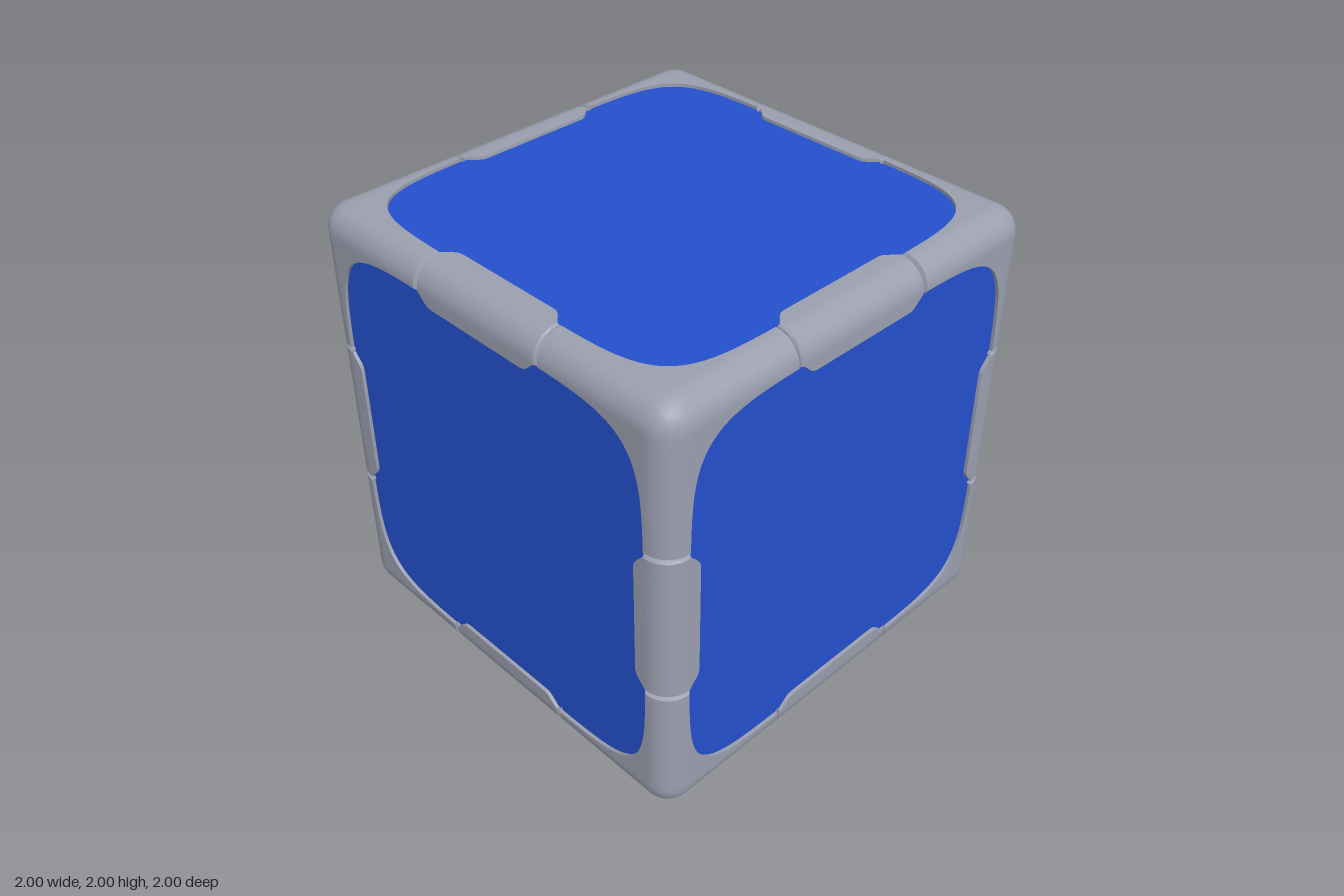
import * as THREE from 'three';
import { mergeGeometries, toCreasedNormals } from 'three/addons/utils/BufferGeometryUtils.js';

const R = 0.115;        // rounding of the cube's edges
const PANEL_Z = 0.985;  // panels sit slightly below the frame
const OUTLINE = 0.882, POWER = 6.3;

const clamp = (v, m) => Math.max(-m, Math.min(m, v));

// Surface through rows of points
function loft(rows) {
  const n = rows[0].length, index = [];
  for (let i = 0; i < rows.length - 1; i++) {
    for (let j = 0; j < n - 1; j++) {
      const a = i * n + j, b = a + 1, c = b + n, d = a + n;
      index.push(a, b, c, a, c, d);
    }
  }
  const geo = new THREE.BufferGeometry();
  geo.setAttribute('position', new THREE.Float32BufferAttribute(rows.flat(2), 3));
  geo.setIndex(index);
  return geo;
}

// Pushes a point of the sharp cube onto the rounded cube
function roundOff(x, y, z) {
  const p = new THREE.Vector3(x, y, z);
  const c = new THREE.Vector3(clamp(x, 1 - R), clamp(y, 1 - R), clamp(z, 1 - R));
  return p.sub(c).normalize().multiplyScalar(R).add(c);
}

const half = [0.352, 0.358, 0.45, 0.55, 0.65, 0.72, 0.78, 0.83, 0.88, 0.91, 0.94, 0.97, 1];
const samples = [...half.map(s => -s).reverse(), -0.18, 0, 0.18, ...half];

// Point of the panel's soft-cornered outline, bottom side
const diagonal = OUTLINE * Math.pow(0.5, 1 / POWER);
function outlinePoint(s) {
  const m = Math.abs(s);
  const x = m < 0.36 ? m : 0.36 + (m - 0.36) * (diagonal - 0.36) / 0.64;
  return [Math.sign(s) * x, -Math.pow(OUTLINE ** POWER - x ** POWER, 1 / POWER)];
}

// One quarter of the frame around a face, sunk where a clip covers it
function frameSide() {
  const rows = [];
  for (let i = 0; i <= 12; i++) {
    const t = i / 12;
    rows.push(samples.map(s => {
      const [u, v] = outlinePoint(s);
      const p = roundOff(s + (u - s) * t, -1 + (v + 1) * t, 1);
      if (Math.abs(s) < 0.355) p.multiplyScalar(0.975);
      return p.toArray();
    }));
  }
  rows.push(samples.map(s => [...outlinePoint(s), 0.965]));
  return loft(rows);
}

// Clip wrapped over an edge, with tapered ends
function clipGeometry() {
  const ends = [[-0.345, 0.884, 0], [-0.345, 0.884, 0.982], [-0.342, 0.882, 0.994], [-0.334, 0.878, 1],
    [-0.315, 0.862, 1], [-0.295, 0.843, 1], [-0.28, 0.833, 1], [-0.262, 0.829, 1]];
  const stations = [...ends, ...ends.map(([x, a, k]) => [-x, a, k]).reverse()];
  const rows = stations.map(([x, a, k]) => {
    const pts = [[0.965, a], [0.996, a], [1, a + 0.001]];
    for (let i = 0; i <= 12; i++) {
      const q = i / 12 * Math.PI / 2;
      pts.push([1 - R + R * Math.cos(q), 1 - R + R * Math.sin(q)]);
    }
    pts.push([a + 0.001, 1], [a, 0.996], [a, 0.965]);
    // k = 0 closes the end
    return pts.map(([y, z]) => k === 0 ? [x, 0.92, 0.92] : [x, y * k, z * k]);
  });
  return toCreasedNormals(loft(rows), 0.6);
}

function panelGeometry() {
  const pts = [];
  for (let k = 0; k < 4; k++) {
    for (const s of samples.slice(0, -1)) {
      pts.push(new THREE.Vector2(...outlinePoint(s)).rotateAround(new THREE.Vector2(), k * Math.PI / 2));
    }
  }
  return new THREE.ShapeGeometry(new THREE.Shape(pts)).translate(0, 0, PANEL_Z);
}

export function createModel() {
  const blue = new THREE.MeshStandardMaterial({ color: 0x2450cc });
  blue.name = 'panel blue';
  const gray = new THREE.MeshStandardMaterial({ color: 0x9a9eae });
  gray.name = 'frame gray';

  const model = new THREE.Group();
  model.name = 'cube';
  const body = new THREE.Group();
  body.name = 'cubeBody';
  body.position.y = 1;
  model.add(body);

  const add = (geo, mat, name, rot = [0, 0, 0], parent = body) => {
    const mesh = new THREE.Mesh(geo, mat);
    mesh.name = name;
    mesh.rotation.set(...rot);
    parent.add(mesh);
  };

  // Six recessed panels and the frame that surrounds them
  const Q = Math.PI / 2;
  const faces = { front: [0, 0, 0], left: [0, Q, 0], back: [0, 2 * Q, 0], right: [0, -Q, 0], top: [-Q, 0, 0], bottom: [Q, 0, 0] };
  const panel = panelGeometry(), frameParts = [];
  for (const [name, rot] of Object.entries(faces)) {
    add(panel, blue, name + 'Panel', rot);
    const turn = new THREE.Matrix4().makeRotationFromEuler(new THREE.Euler(...rot));
    for (let k = 0; k < 4; k++) frameParts.push(frameSide().rotateZ(k * Q).applyMatrix4(turn));
  }
  add(toCreasedNormals(mergeGeometries(frameParts), 0.6), gray, 'frame');

  // Twelve clips, four along each axis
  const clip = clipGeometry();
  for (const [axis, rot] of Object.entries({ x: [0, 0, 0], y: [0, 0, Q], z: [0, Q, 0] })) {
    const set = new THREE.Group();
    set.name = axis + 'EdgeClips';
    set.rotation.set(...rot);
    body.add(set);
    for (let k = 0; k < 4; k++) add(clip, gray, 'edgeClip', [k * Q, 0, 0], set);
  }
  return model;
}
